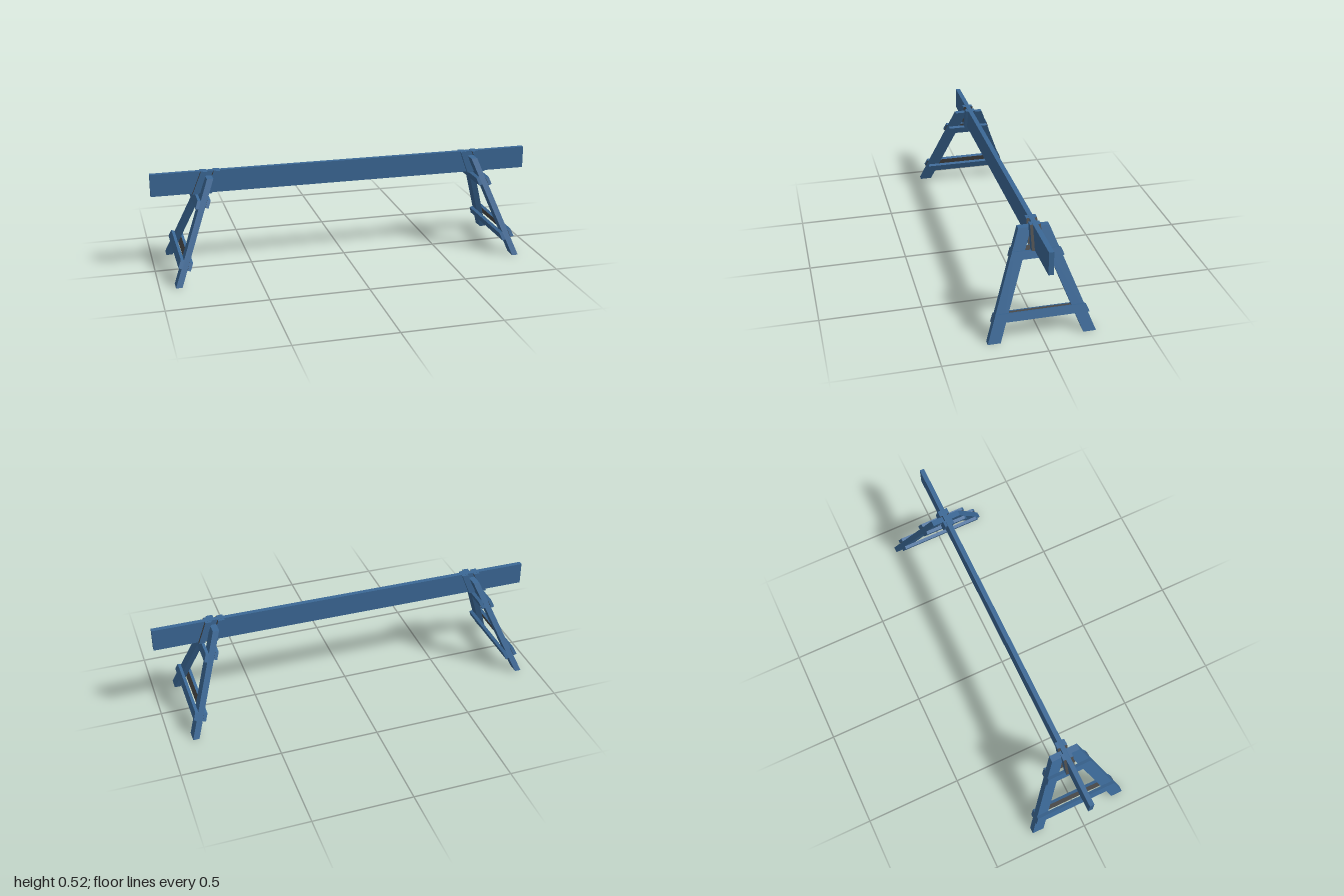
import * as THREE from 'three';

const blue = new THREE.MeshStandardMaterial({ color: 0x3b6896 });
blue.name = 'blue paint';
const grey = new THREE.MeshStandardMaterial({ color: 0x4a4a4a });
grey.name = 'bare grey';

const LEG = 0.032;          // leg thickness
const SPLAY = 0.378;        // how far a leg spreads in z per unit of height
const outerEdge = (y) => 0.262 - SPLAY * y;

// Four-sided board in the z-y plane, thick along x from x0 to x1.
// Its inner (-x) and outer (+x) faces may have their own materials.
function board(name, corners, x0, x1, inner = blue, outer = blue) {
  const shape = new THREE.Shape(corners.map(([z, y]) => new THREE.Vector2(-z, y)));
  const geo = new THREE.ExtrudeGeometry(shape, { depth: x1 - x0, bevelEnabled: false });
  geo.clearGroups();
  geo.addGroup(0, 6, 0);
  geo.addGroup(6, 6, 1);
  geo.addGroup(12, 24, 2);
  geo.rotateY(Math.PI / 2).translate(x0, 0, 0);
  const mesh = new THREE.Mesh(geo, [inner, outer, blue]);
  mesh.name = name;
  return mesh;
}

// A-shaped trestle leaning inward; its outside faces +x.
function trestle(name, foot, lean, ground) {
  const group = new THREE.Group();
  group.name = name;
  const shear = new THREE.Matrix4().set(
    1, -lean, 0, foot,
    0, 1, 0, 0,
    0, 0, 1, 0,
    0, 0, 0, 1);
  const addSheared = (mesh) => {
    mesh.geometry.applyMatrix4(shear);
    group.add(mesh);
  };

  for (const s of [1, -1]) {
    // Splayed leg, cut level at both ends
    const top = 0.495;
    const leg = [
      [s * outerEdge(ground), ground], [s * outerEdge(top), top],
      [s * (outerEdge(top) - 0.062), top], [s * (outerEdge(ground) - 0.062), ground],
    ];
    addSheared(board('leg', leg, -LEG / 2, LEG / 2));

    // Cleats beside the beam, holding the leg between them
    const cleat = [[s * 0.012, 0.404], [s * 0.026, 0.404], [s * 0.026, 0.519], [s * 0.012, 0.519]];
    addSheared(board('outerCleat', cleat, LEG / 2, LEG / 2 + 0.033, grey, grey));
    addSheared(board('innerCleat', cleat, -LEG / 2 - 0.033, -LEG / 2, blue, grey));
  }

  // Cross rails on both faces of the legs, with ends following the splay
  const half = 0.02, t = 0.017, face = 0.0152;
  const addRail = (railName, y, x0, x1, inner, outer) => {
    const w = outerEdge(y) + 0.003, d = half * SPLAY;
    const rail = board(railName,
      [[w + d, -half], [w - d, half], [-w + d, half], [-w - d, -half]], x0, x1, inner, outer);
    rail.position.set(foot - lean * y, y, 0);
    rail.rotation.z = Math.atan(lean);
    group.add(rail);
  };
  addRail('lowerOuterRail', 0.106, face, face + t, grey, blue);
  addRail('lowerInnerRail', 0.106, -face - t, -face, blue, grey);
  addRail('upperOuterRail', 0.372, face, face + t, grey, blue);
  addRail('upperInnerRail', 0.388, -face - t, -face, blue, grey);
  return group;
}

export function createModel() {
  const model = new THREE.Group();
  model.name = 'trestleBarrier';

  // Long plank on edge
  const beam = new THREE.Mesh(new THREE.BoxGeometry(2, 0.115, 0.024), blue);
  beam.name = 'beam';
  beam.position.y = 0.4625;
  model.add(beam);

  // The two trestles, the right one turned to face the other way
  model.add(trestle('leftTrestle', 0.873, 0.36, 0));
  const right = trestle('rightTrestle', 0.908, 0.405, 0.005);
  right.rotation.y = Math.PI;
  model.add(right);
  return model;
}
